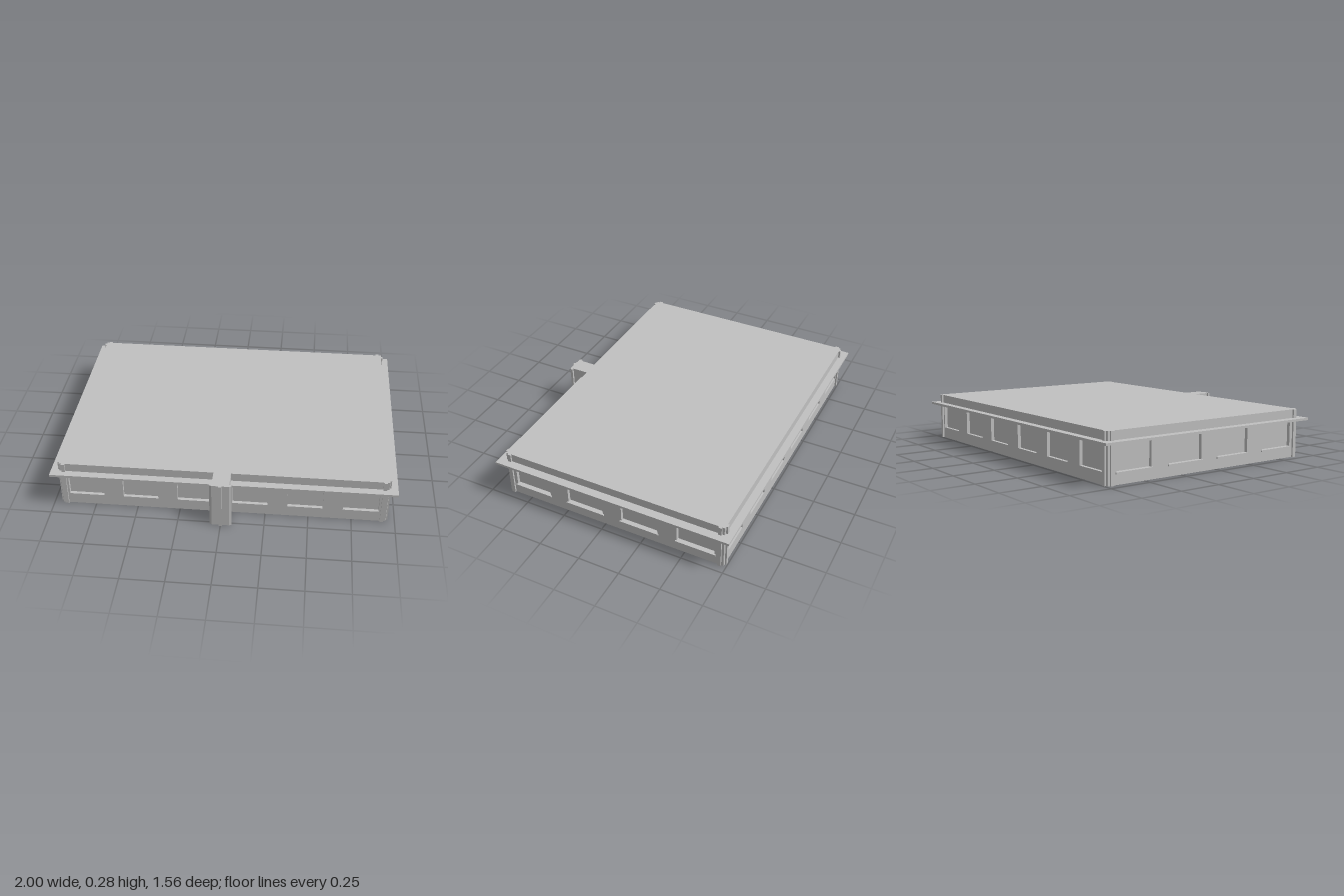
import * as THREE from 'three';

const HX = 0.95, HZ = 0.6925, ZC = -0.0425; // wall half sizes and centre
const RECESS = 0.02, SILL_Y = 0.068, HEAD_Y = 0.22, TOP_Y = 0.285;
const FRONT_WINDOWS = [-0.8, -0.48, -0.16, 0.16, 0.48, 0.8];
const SIDE_WINDOWS = [-0.522, -0.174, 0.174, 0.522];

// Four walls in order round the plan: normal, tangent, distance, half length
const SIDES = [
  { n: [0, 1], t: [1, 0], dist: HZ, half: HX, windows: FRONT_WINDOWS, w: 0.1025, porch: true },
  { n: [1, 0], t: [0, -1], dist: HX, half: HZ, windows: SIDE_WINDOWS, w: 0.114 },
  { n: [0, -1], t: [-1, 0], dist: HZ, half: HX, windows: FRONT_WINDOWS, w: 0.1025 },
  { n: [-1, 0], t: [0, 1], dist: HX, half: HZ, windows: SIDE_WINDOWS, w: 0.114 },
];

// Half of the projecting pier, as along-wall and outward offsets
const PORCH = [[0.05, 0], [0.05, 0.1], [0.063, 0.1], [0.063, 0.115], [0.05, 0.12], [0.01, 0.12], [0.01, 0.13]];
const mirror = (pts) => pts.map(([u, d]) => [-u, d]).reverse();

// Building footprint, with or without window recesses
function footprint(withWindows) {
  const points = [];
  for (const s of SIDES) {
    const L = s.half;
    const corner = [[L - 0.036, 0], [L - 0.036, 0.01], [L - 0.015, 0.01], [L - 0.015, 0], [L - 0.002, 0]];
    const line = [...mirror(corner)];
    const mid = s.windows.length / 2;
    s.windows.forEach((c, i) => {
      if (s.porch && i === mid) line.push(...PORCH.map(([u, d]) => [-u, d]), ...[...PORCH].reverse());
      if (withWindows) {
        line.push([c - s.w, 0], [c - s.w, -RECESS], [c + s.w, -RECESS], [c + s.w, 0]);
      }
    });
    line.push(...corner);
    for (const [u, d] of line) {
      const x = s.n[0] * (s.dist + d) + s.t[0] * u;
      const z = s.n[1] * (s.dist + d) + s.t[1] * u + ZC;
      points.push(new THREE.Vector2(x, -z));
    }
  }
  return new THREE.Shape(points);
}

export function createModel() {
  const model = new THREE.Group();
  model.name = 'building';
  const grey = new THREE.MeshStandardMaterial({ color: 0xc0c0c0 });
  grey.name = 'grey';

  const add = (name, geometry, x = 0, y = 0, z = 0) => {
    const mesh = new THREE.Mesh(geometry, grey);
    mesh.name = name;
    mesh.position.set(x, y, z);
    model.add(mesh);
  };

  // Wall bands stacked from the ground to the flat roof
  const band = (name, y0, y1, withWindows) => {
    const geometry = new THREE.ExtrudeGeometry(footprint(withWindows), { depth: y1 - y0, bevelEnabled: false });
    geometry.rotateX(-Math.PI / 2);
    add(name, geometry, 0, y0, 0);
  };
  band('lowerWall', 0, SILL_Y, false);
  band('windowWall', SILL_Y, HEAD_Y, true);
  band('parapetAndRoof', HEAD_Y, TOP_Y, false);

  // Thin canopy running round the building
  add('canopy', new THREE.BoxGeometry(2, 0.014, 1.475), 0, 0.227, ZC);

  // Sills below the side windows
  for (const side of [-1, 1]) {
    for (const c of SIDE_WINDOWS) {
      add('windowSill', new THREE.BoxGeometry(0.03, 0.01, 0.243), side * (HX - 0.006), SILL_Y - 0.005, ZC + c);
    }
  }
  return model;
}
